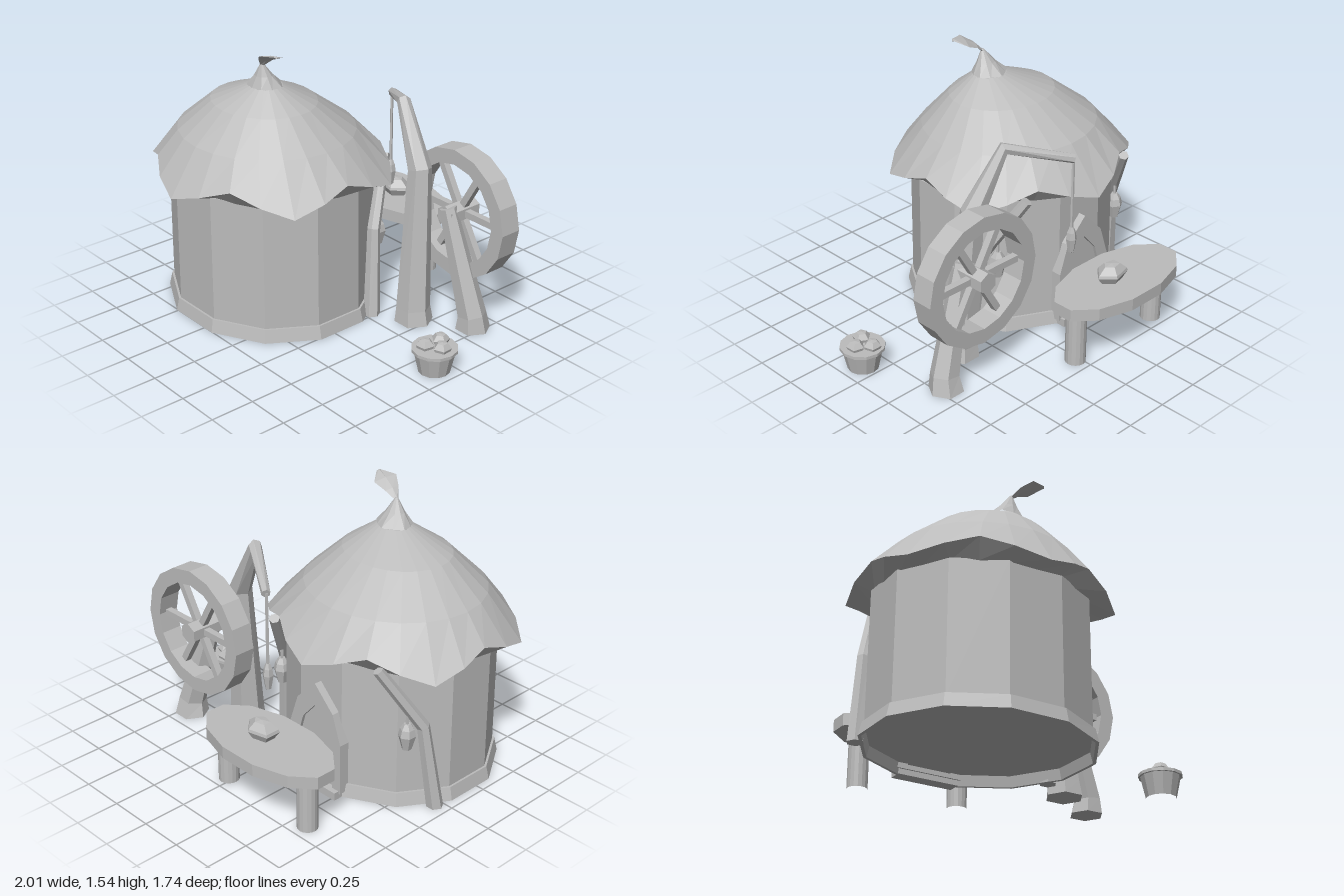
import * as THREE from 'three';

const stone = new THREE.MeshStandardMaterial({ color: 0xbcbcbc, flatShading: true });
stone.name = 'grey';
const HX = -0.345, HZ = 0.2; // hut centre
const V = (x, y, z) => new THREE.Vector3(x, y, z);

function add(parent, name, geo, x = 0, y = 0, z = 0) {
  const m = new THREE.Mesh(geo, stone);
  m.name = name;
  m.position.set(x, y, z);
  parent.add(m);
  return m;
}

// Skin closed rings of equal length, with optional end caps
function loft(rings, capStart = true, capEnd = true) {
  const pos = [];
  const tri = (...p) => p.forEach(q => pos.push(q.x, q.y, q.z));
  const n = rings[0].length;
  for (let i = 0; i < rings.length - 1; i++) {
    for (let j = 0; j < n; j++) {
      const k = (j + 1) % n;
      const a = rings[i][j], b = rings[i][k], c = rings[i + 1][k], d = rings[i + 1][j];
      tri(a, b, c);
      tri(a, c, d);
    }
  }
  const first = rings[0], last = rings[rings.length - 1];
  for (let j = 1; j < n - 1; j++) {
    if (capStart) tri(first[0], first[j + 1], first[j]);
    if (capEnd) tri(last[0], last[j], last[j + 1]);
  }
  const g = new THREE.BufferGeometry();
  g.setAttribute('position', new THREE.Float32BufferAttribute(pos, 3));
  g.computeVertexNormals();
  return g;
}

// Horizontal elliptical ring
function ring(n, cx, y, cz, rx, rz, turn = 0) {
  return Array.from({ length: n }, (_, i) => {
    const a = ((i + turn) / n) * Math.PI * 2;
    return V(cx + Math.sin(a) * rx, y, cz + Math.cos(a) * rz);
  });
}

// Tapered faceted beam along a path of [x, y, z, radius]; standing beams get a level foot
function beam(path, sides = 6) {
  const pts = path.map(p => V(p[0], p[1], p[2]));
  return loft(pts.map((p, i) => {
    const t = V(0, 0, 0);
    if (i > 0) t.add(p.clone().sub(pts[i - 1]).normalize());
    if (i < pts.length - 1) t.add(pts[i + 1].clone().sub(p).normalize());
    if (i === 0 && p.y === 0) t.set(0, 1, 0);
    t.normalize();
    const u = V(0, 0, 1).addScaledVector(t, -t.z).normalize();
    const v = t.clone().cross(u);
    return Array.from({ length: sides }, (_, j) => {
      const a = ((j + 0.5) / sides) * Math.PI * 2;
      return p.clone().addScaledVector(u, Math.cos(a) * path[i][3]).addScaledVector(v, Math.sin(a) * path[i][3]);
    });
  }));
}

const lathe = (pts, n) => new THREE.LatheGeometry(pts.map(p => new THREE.Vector2(p[0], p[1])), n);

// Hanging lantern with its cord
function lantern(parent, x, y, z, r, cordTop) {
  const g = new THREE.Group();
  g.name = 'lantern';
  add(g, 'lanternBody', lathe([[0, -0.08], [r * 0.55, -0.07], [r, 0.01], [r * 0.8, 0.05], [r * 0.4, 0.08], [0, 0.08]], 6), x, y, z);
  const h = cordTop - y - 0.07;
  add(g, 'lanternCord', new THREE.CylinderGeometry(0.009, 0.009, h, 5), x, cordTop - h / 2, z);
  parent.add(g);
}

// Pointed arch outline
function archShape(w, h, Kind = THREE.Shape) {
  const s = new Kind();
  s.moveTo(-w, 0);
  s.lineTo(w, 0);
  s.lineTo(w, h * 0.5);
  s.lineTo(w * 0.7, h * 0.78);
  s.lineTo(0, h);
  s.lineTo(-w * 0.7, h * 0.78);
  s.lineTo(-w, h * 0.5);
  s.closePath();
  return s;
}

function buildHut(root) {
  const hut = new THREE.Group();
  hut.name = 'hut';
  root.add(hut);
  add(hut, 'wall', loft([ring(12, HX, 0.06, HZ, 0.6, 0.548, 0.5), ring(12, HX, 0.8, HZ, 0.595, 0.543, 0.5)]));
  // Flared base ring, hollow below the floor
  const foot = (y, rx, rz) => ring(12, HX, y, HZ, rx, rz, 0.5);
  add(hut, 'base', loft([foot(0.075, 0.595, 0.543), foot(0, 0.612, 0.558), foot(0, 0.63, 0.575), foot(0.075, 0.612, 0.56), foot(0.075, 0.595, 0.543)], false, false));

  // Six-lobed roof with a drooping scalloped rim
  const rim = Array.from({ length: 24 }, (_, i) => {
    const t = [1, 0.5, 0, 0.5][i % 4], a = (i / 24) * Math.PI * 2, r = 0.65 + 0.07 * t;
    return V(HX + Math.sin(a) * r, 0.885 - 0.105 * t, HZ + Math.cos(a) * r * 0.925);
  });
  add(hut, 'roof', loft([rim,
    ring(24, -0.345, 1.03, 0.22, 0.51, 0.475),
    ring(24, -0.32, 1.2, 0.255, 0.315, 0.275),
    ring(24, -0.26, 1.31, 0.29, 0.1, 0.088)], false));
  add(hut, 'roofUnderside', loft([ring(24, HX, 0.79, HZ, 0.575, 0.525), rim], false, false));

  // Pointed cap and curled leaf
  const cap = ring(10, -0.26, 1.305, 0.29, 0.108, 0.095);
  cap.forEach((p, i) => { p.y += i % 2 ? 0.008 : -0.008; });
  add(hut, 'roofCap', loft([cap, ring(10, -0.249, 1.37, 0.308, 0.055, 0.048), ring(10, -0.24, 1.44, 0.325, 0.008, 0.008)], false));
  const side = V(-0.35, 0.2, 1).normalize();
  add(hut, 'leaf', loft([[-0.24, 1.43, 0.325, 0.01], [-0.195, 1.475, 0.335, 0.04], [-0.13, 1.51, 0.35, 0.066], [-0.06, 1.53, 0.37, 0.012]].map(([x, y, z, w]) => {
    const c = V(x, y, z), up = V(-0.004, 0.006, 0);
    return [c.clone().add(up), c.clone().addScaledVector(side, w), c.clone().sub(up), c.clone().addScaledVector(side, -w)];
  })));

  // Arched door at the back
  const frame = archShape(0.19, 0.6);
  frame.holes.push(archShape(0.13, 0.47, THREE.Path));
  add(hut, 'doorFrame', new THREE.ExtrudeGeometry(frame, { depth: 0.06, bevelEnabled: false }), HX, 0.03, -0.37);
  add(hut, 'door', new THREE.ExtrudeGeometry(archShape(0.135, 0.48), { depth: 0.03, bevelEnabled: false }), HX, 0.03, -0.352);
  add(hut, 'doorStep', new THREE.BoxGeometry(0.36, 0.045, 0.08), HX, 0.0225, -0.36);

  // Mirrored bent props with lanterns
  for (const s of [1, -1]) {
    const mx = x => HX + s * (x - HX);
    add(hut, 'roofProp', beam([[mx(0.228), 0, -0.045, 0.047], [mx(0.178), 0.49, -0.1, 0.036], [mx(0.04), 0.84, -0.3, 0.03]], 6));
    lantern(hut, mx(0.13), 0.435, -0.17, 0.048, 0.6);
  }
}

function buildWheel(root) {
  const wheel = new THREE.Group();
  wheel.name = 'wheel';
  wheel.position.set(0.527, 0.633, -0.415);
  root.add(wheel);
  const rim = lathe([[0.287, -0.062], [0.372, -0.062], [0.372, 0.062], [0.287, 0.062], [0.287, -0.062]], 16);
  add(wheel, 'wheelRim', rim.rotateX(Math.PI / 2));
  for (let i = 0; i < 6; i++) {
    const a = (i * Math.PI) / 3;
    add(wheel, 'spoke', new THREE.BoxGeometry(0.27, 0.038, 0.038), Math.cos(a) * 0.165, Math.sin(a) * 0.165, 0).rotation.z = a;
  }
  add(wheel, 'hub', new THREE.CylinderGeometry(0.06, 0.06, 0.21, 6).rotateX(Math.PI / 2), 0, 0, 0.015);
  add(root, 'wheelSupport', beam([[0.7, 0, -0.365, 0.098], [0.7, 0.09, -0.355, 0.08], [0.53, 0.68, -0.315, 0.048]]));
}

function buildTable(root) {
  const table = new THREE.Group();
  table.name = 'table';
  root.add(table);
  add(table, 'tableTop', loft([ring(12, -0.298, 0.32, -0.655, 0.445, 0.223, 0.5), ring(12, -0.298, 0.39, -0.655, 0.445, 0.223, 0.5)]));
  for (const x of [-0.595, 0.025]) add(table, 'tableLeg', new THREE.CylinderGeometry(0.057, 0.057, 0.33, 16, 1, true), x, 0.165, -0.66);
  add(table, 'loaf', lathe([[0, 0], [0.055, 0], [0.08, 0.042], [0.075, 0.058], [0.04, 0.095], [0, 0.1]], 5).rotateY(Math.PI / 2).scale(1.3, 1, 0.95), -0.25, 0.39, -0.655);
}

function buildBasket(root) {
  const basket = new THREE.Group();
  basket.name = 'basket';
  basket.position.set(0.877, 0, 0.097);
  root.add(basket);
  add(basket, 'basketBody', new THREE.CylinderGeometry(0.113, 0.085, 0.125, 12, 1, true), 0, 0.0625, 0);
  add(basket, 'basketRim', new THREE.CylinderGeometry(0.124, 0.124, 0.017, 12), 0, 0.13, 0);
  [[-0.02, -0.06], [0.05, -0.005], [-0.03, 0.04]].forEach(([x, z], i) => {
    add(basket, 'fruit', lathe([[0, -0.02], [0.04, -0.01], [0.05, 0.02], [0.028, 0.048], [0, 0.052]], 5), x, 0.135, z).rotation.y = i;
  });
}

export function createModel() {
  const root = new THREE.Group();
  root.name = 'hutWithWheel';
  buildHut(root);
  buildWheel(root);
  buildTable(root);
  buildBasket(root);
  // Bent arm holding a lantern over the table
  add(root, 'craneArm', beam([[0.425, 0, -0.18, 0.108], [0.42, 0.08, -0.18, 0.096], [0.385, 0.88, -0.24, 0.066], [0.2, 1.205, -0.285, 0.037], [-0.11, 1.11, -0.49, 0.025]]));
  lantern(root, -0.11, 0.62, -0.485, 0.03, 1.11);
  return root;
}
